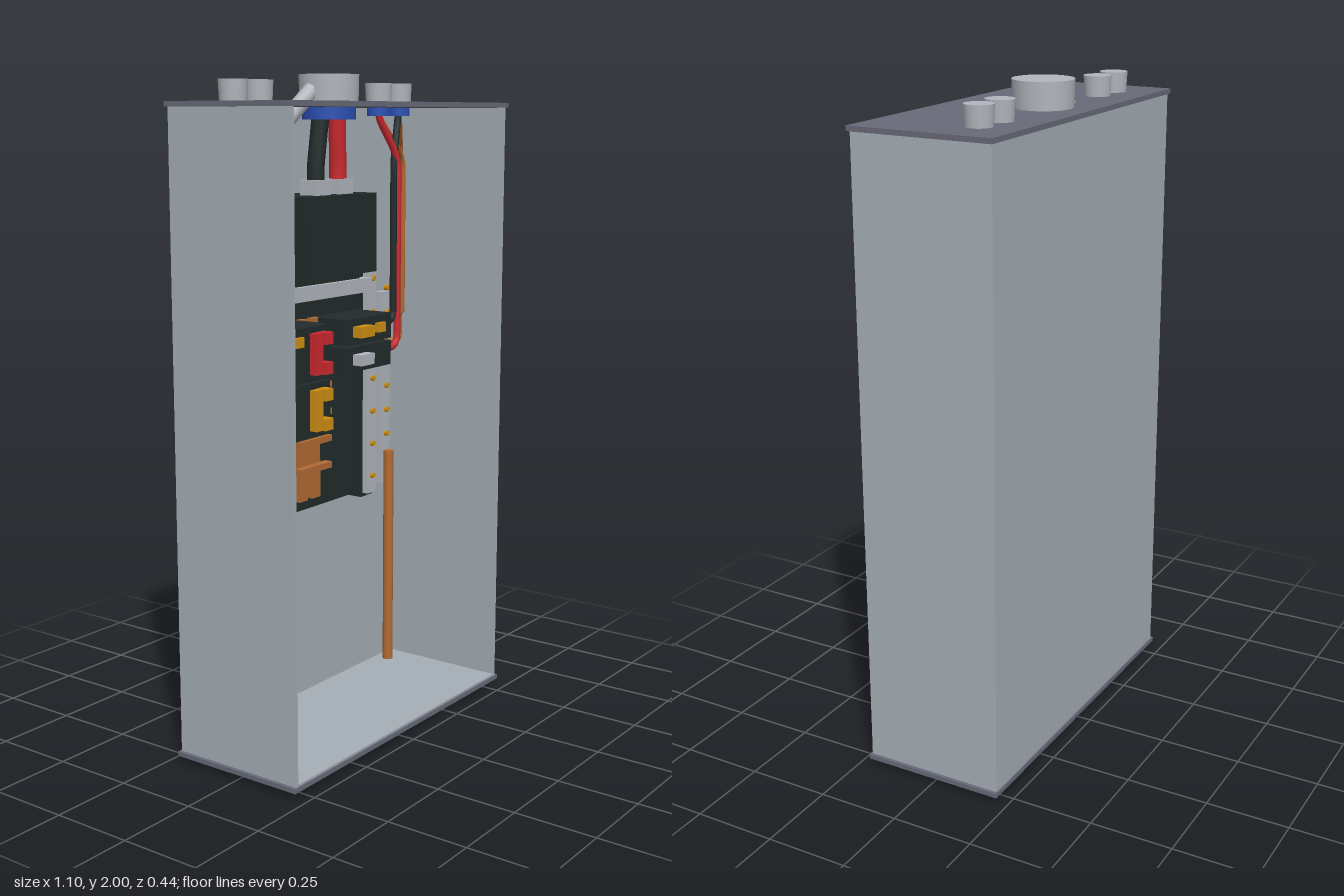
import * as THREE from 'three';

const mat = (name, color) => {
  const m = new THREE.MeshStandardMaterial({ color });
  m.name = name;
  return m;
};

export function createModel() {
  const steel = mat('enclosure grey', 0xa6afb6);
  const slate = mat('end plate slate', 0x686a79);
  const silver = mat('silver metal', 0xb2b6bd);
  const black = mat('black plastic', 0x222c2b);
  const red = mat('red', 0xcc2a30);
  const copper = mat('copper', 0xb36b34);
  const gold = mat('gold', 0xcf8f12);
  const blue = mat('blue bushing', 0x2c50b4);

  const root = new THREE.Group();
  root.name = 'electricalPanel';
  const add = (name, geometry, material) => {
    const m = new THREE.Mesh(geometry, material);
    m.name = name;
    root.add(m);
    return m;
  };
  // Box given by its limits on each axis
  const box = (name, material, x0, x1, y0, y1, z0, z1) =>
    add(name, new THREE.BoxGeometry(x1 - x0, y1 - y0, z1 - z0), material)
      .position.set((x0 + x1) / 2, (y0 + y1) / 2, (z0 + z1) / 2);
  // Upright cylinder
  const post = (name, material, x, z, y0, y1, rTop, rBottom = rTop, sides = 20) =>
    add(name, new THREE.CylinderGeometry(rTop, rBottom, y1 - y0, sides), material)
      .position.set(x, (y0 + y1) / 2, z);
  // Screw head facing the front
  const screw = (x, y, z, r = 0.009) => {
    const m = add('screw', new THREE.CylinderGeometry(r, r, 0.014, 8), gold);
    m.rotation.x = Math.PI / 2;
    m.position.set(x, y, z);
  };
  // Round wire with straight runs and rounded corners
  const wire = (name, material, r, points, bend = 0.05) => {
    const p = points.map(a => new THREE.Vector3(...a));
    const path = new THREE.CurvePath();
    let from = p[0];
    for (let i = 1; i < p.length - 1; i++) {
      const toPrev = p[i - 1].clone().sub(p[i]);
      const toNext = p[i + 1].clone().sub(p[i]);
      const d = Math.min(bend, toPrev.length() * 0.45, toNext.length() * 0.45);
      const a = p[i].clone().add(toPrev.setLength(d));
      const b = p[i].clone().add(toNext.setLength(d));
      path.add(new THREE.LineCurve3(from, a));
      path.add(new THREE.QuadraticBezierCurve3(a, p[i], b));
      from = b;
    }
    path.add(new THREE.LineCurve3(from, p[p.length - 1]));
    add(name, new THREE.TubeGeometry(path, 60, r, 10), material);
  };

  // Open-fronted enclosure
  box('backWall', steel, -0.54, 0.54, 0.03, 1.91, -0.215, -0.205);
  for (const s of [-1, 1])
    box('sideWall', steel, Math.min(s * 0.53, s * 0.54), Math.max(s * 0.53, s * 0.54), 0.03, 1.91, -0.215, 0.215);
  box('innerFloor', steel, -0.53, 0.53, 0.034, 0.04, -0.205, 0.215);
  box('bottomPlate', slate, -0.55, 0.55, 0.02, 0.034, -0.22, 0.22);
  box('topPlate', slate, -0.55, 0.55, 1.905, 1.92, -0.22, 0.22);

  // Service hub and cable connectors through the top
  post('serviceHub', silver, 0, -0.07, 1.92, 2.0, 0.09, 0.088, 24);
  post('hubBushing', blue, 0, -0.07, 1.87, 1.906, 0.08, 0.08, 24);
  for (const x of [-0.405, -0.295, 0.29, 0.4]) {
    post('connector', silver, x, -0.095, 1.92, 1.98, 0.042, 0.039);
    post('connectorBushing', blue, x, -0.095, 1.88, 1.906, 0.036);
  }

  // Conduit with its lug
  wire('conduit', silver, 0.025,
    [[-0.31, 1.42, -0.11], [-0.31, 1.76, -0.105], [-0.06, 1.965, -0.075]], 0.11);
  box('conduitLug', silver, -0.345, -0.275, 1.38, 1.455, -0.17, -0.08);

  // Backplane, strap and main breaker
  box('backplane', black, -0.245, 0.24, 0.665, 1.33, -0.206, -0.165);
  box('mainBase', black, -0.245, 0.24, 1.375, 1.515, -0.206, -0.13);
  box('strap', silver, -0.29, 0.29, 1.33, 1.375, -0.206, -0.115);
  box('mainBreaker', black, -0.175, 0.17, 1.41, 1.65, -0.2, -0.016);
  for (const [x, top, m, name] of [[-0.057, -0.04, black, 'blackServiceCable'], [0.053, 0.04, red, 'redServiceCable']]) {
    box('mainLug', silver, x - 0.033, x + 0.033, 1.65, 1.695, -0.11, -0.045);
    wire(name, m, 0.026, [[x, 1.68, -0.077], [x, 1.73, -0.077], [top, 1.89, -0.07]]);
  }

  // Neutral bars on black bases, and outer ground bars
  for (const x of [-0.312, 0.308]) {
    box('neutralBase', black, x - 0.033, x + 0.033, 0.65, 1.44, -0.206, -0.15);
    box('neutralBar', silver, x - 0.022, x + 0.022, 0.662, 1.428, -0.15, -0.13);
    for (let i = 0; i < 7; i++) screw(x, 0.72 + i * 0.1083, -0.127);
  }
  for (const x of [-0.453, 0.452]) {
    box('groundBar', silver, x - 0.022, x + 0.022, 0.662, 1.31, -0.206, -0.175);
    for (let i = 0; i < 8; i++) screw(x, 0.75 + i * 0.082, -0.172);
  }
  post('groundRod', copper, 0.45, -0.16, 0, 0.775, 0.017);

  // Bus bars and stabs
  for (const x of [-0.035, 0.03]) box('busBar', copper, x - 0.02, x + 0.02, 0.7, 1.27, -0.166, -0.145);
  for (let i = 0; i < 6; i++) {
    const y = 0.802 + i * 0.086;
    box('busStab', copper, -0.08, 0.078, y - 0.01, y + 0.01, -0.146, -0.12);
  }

  // Double breakers with tied handles
  for (const [y0, y1, m] of [[1.105, 1.27, red], [0.935, 1.1, gold]]) {
    const y = (y0 + y1) / 2 + 0.002;
    box('doubleBreaker', black, -0.275, -0.05, y0, y1, -0.165, -0.03);
    box('handleTie', m, -0.15, -0.118, y - 0.062, y + 0.062, -0.03, -0.004);
    for (const s of [-1, 1])
      box('breakerHandle', m, -0.12, -0.08, y + s * 0.045 - 0.018, y + s * 0.045 + 0.018, -0.03, 0.005);
    for (const s of [-1, 1])
      box('terminal', gold, -0.288, -0.27, y + s * 0.042 - 0.009, y + s * 0.042 + 0.009, -0.1, -0.06);
  }
  box('testButton', gold, -0.23, -0.19, 1.216, 1.246, -0.03, -0.018);

  // Single breakers
  for (const [y0, y1, m] of [[1.19, 1.27, gold], [1.105, 1.182, silver]]) {
    const y = (y0 + y1) / 2;
    box('singleBreaker', black, 0.04, 0.275, y0, y1, -0.165, -0.033);
    box('breakerHandle', m, 0.072, 0.14, y - 0.017, y + 0.017, -0.033, 0);
    box('terminal', gold, 0.27, 0.288, y - 0.009, y + 0.009, -0.1, -0.06);
  }
  box('testButton', gold, 0.188, 0.228, 1.216, 1.246, -0.033, -0.02);

  // Branch wires: start, run down at x, turn in to the terminal
  const run = (name, m, x0, x, y, xEnd, z, zEnd, r = 0.011) =>
    wire(name, m, r, [[x0, 1.89, -0.095], [x0 + (x - x0) * 0.1, 1.865, -0.095], [x, 1.75, z], [x, y, z], [xEnd, y, zEnd]]);
  run('redWire', red, -0.405, -0.398, 0.975, -0.28, -0.08, -0.08);
  run('redWire', red, -0.295, -0.383, 1.145, -0.28, -0.075, -0.08);
  run('blackWire', black, -0.295, -0.365, 1.23, -0.28, -0.09, -0.08);
  run('blackWire', black, -0.405, -0.376, 1.06, -0.28, -0.1, -0.08);
  run('blackWire', black, 0.4, 0.362, 1.23, 0.28, -0.085, -0.08);
  run('redWire', red, 0.29, 0.378, 1.145, 0.28, -0.08, -0.08);
  run('groundWire', copper, -0.405, -0.488, 1.06, -0.45, -0.14, -0.165, 0.008);
  run('groundWire', copper, -0.295, -0.478, 1.23, -0.45, -0.125, -0.165, 0.008);
  run('groundWire', copper, 0.4, 0.482, 1.15, 0.45, -0.14, -0.165, 0.008);
  run('groundWire', copper, 0.29, 0.474, 1.235, 0.45, -0.125, -0.165, 0.008);

  return root;
}
